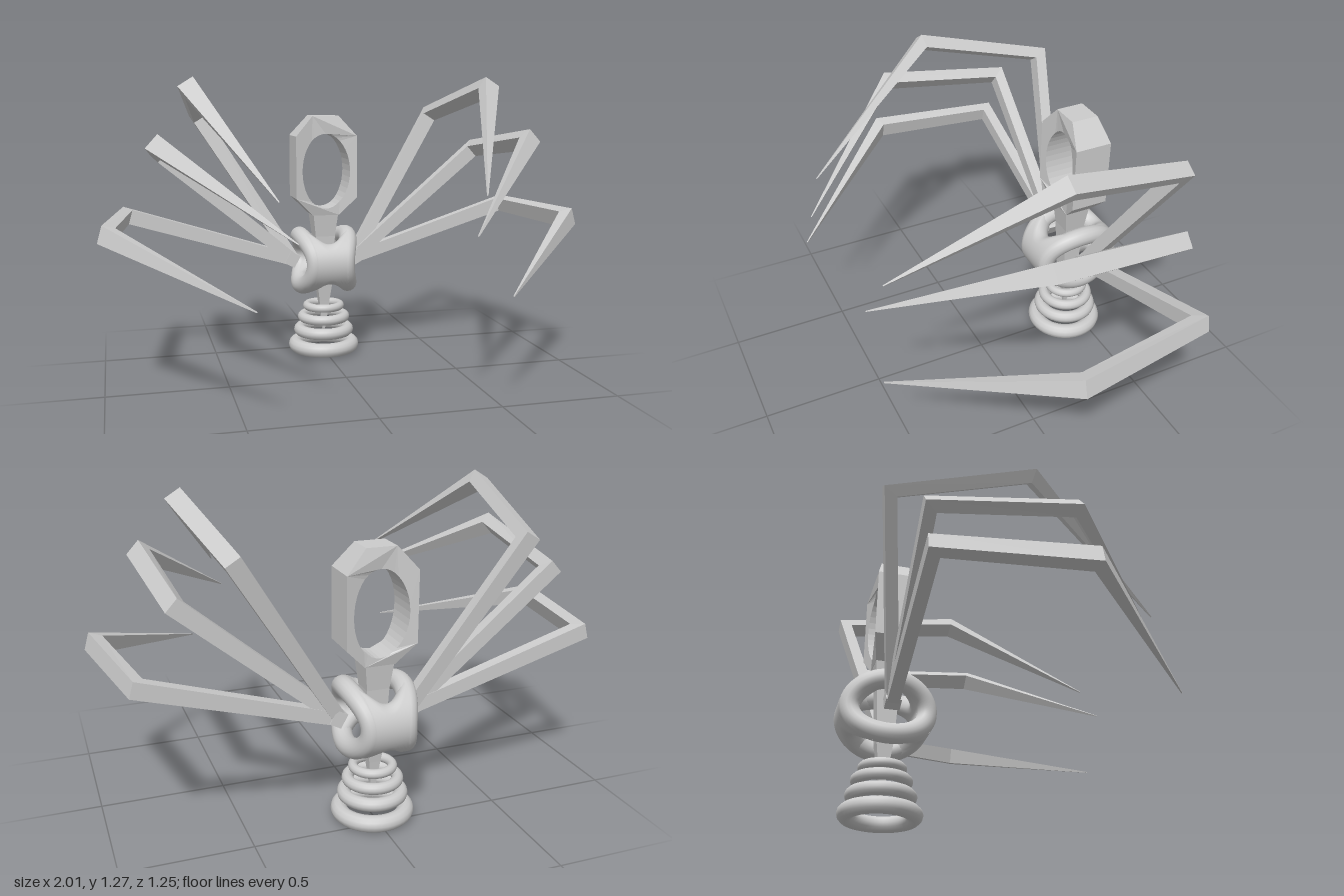
import * as THREE from 'three';

const Z = -0.43; // depth of the central column
const smooth = new THREE.MeshStandardMaterial({ color: 0xcccccc, side: THREE.DoubleSide });
const flat = new THREE.MeshStandardMaterial({ color: 0xcccccc, flatShading: true, side: THREE.DoubleSide });

// Skin a list of closed rings of points
function loft(rings) {
  const m = rings[0].length, pos = [], idx = [];
  rings.forEach(r => r.forEach(p => pos.push(p.x, p.y, p.z)));
  for (let i = 0; i < rings.length - 1; i++) {
    for (let j = 0; j < m; j++) {
      const a = i * m + j, b = i * m + (j + 1) % m;
      idx.push(a, b, b + m, a, b + m, a + m);
    }
  }
  const g = new THREE.BufferGeometry();
  g.setAttribute('position', new THREE.Float32BufferAttribute(pos, 3));
  g.setIndex(idx);
  g.computeVertexNormals();
  return g;
}

// Tapered square limb, mitred at its knees; w = half width, d = half depth
function limb(points, w, d) {
  const across = points[2].clone().sub(points[0]);
  const n = new THREE.Vector3(-across.y, across.x, 0).normalize();
  const dirs = points.slice(1).map((p, i) => p.clone().sub(points[i]).normalize());
  return loft(points.map((p, i) => {
    const d1 = dirs[Math.max(i - 1, 0)], d2 = dirs[Math.min(i, dirs.length - 1)];
    const t = d1.clone().add(d2).normalize();
    const m = n.clone().cross(t).normalize().multiplyScalar(d[i] / t.dot(d1));
    return [[1, -1], [1, 1], [-1, 1], [-1, -1]].map(([a, b]) =>
      p.clone().addScaledVector(m, a).addScaledVector(n, b * w[i]));
  }));
}

// Oval ring of the body in the y-z plane
const RY = 0.114, RZ = 0.153, TUBE = 0.04;
const spread = a => 0.07 + 0.038 * Math.sin(a) ** 2;

// Curved panel joining the two body rings, narrowest in the middle
function panelGeometry() {
  const rings = [];
  for (let i = 0; i <= 20; i++) {
    const u = i / 10 - 1, a = 0.47 + 0.75 * Math.abs(u) ** 2.2, ring = [];
    const add = (th, phi) => {
      const n = new THREE.Vector2(Math.sin(th) / RY, Math.cos(th) / RZ).normalize();
      const c = TUBE * Math.cos(phi), s = TUBE * Math.sin(phi);
      ring.push(new THREE.Vector3(u * spread(th),
        RY * Math.sin(th) + c * n.x - s * n.y,
        RZ * Math.cos(th) + c * n.y + s * n.x));
    };
    for (let k = 0; k < 14; k++) add(a - 2 * a * k / 14, 0);
    for (let k = 0; k < 8; k++) add(-a, Math.PI * k / 8);
    for (let k = 0; k < 14; k++) add(-a + 2 * a * k / 14, Math.PI);
    for (let k = 0; k < 8; k++) add(a, Math.PI + Math.PI * k / 8);
    rings.push(ring);
  }
  return loft(rings);
}

export function createModel() {
  const model = new THREE.Group();
  const add = (parent, name, geometry, material, x = 0, y = 0, z = 0) => {
    const mesh = new THREE.Mesh(geometry, material);
    mesh.name = name;
    mesh.position.set(x, y, z);
    parent.add(mesh);
    return mesh;
  };

  // Stacked rings at the foot: outer radius, tube, height
  [[0.164, 0.033, 0.033], [0.139, 0.027, 0.104], [0.121, 0.023, 0.165], [0.096, 0.019, 0.217]]
    .forEach(([r, t, y]) => {
      const g = new THREE.TorusGeometry(r - t, t, 12, 40).rotateX(Math.PI / 2);
      add(model, 'baseRing', g, smooth, 0, y, Z);
    });

  // Hollow body: two side rings joined by front and back panels
  const body = new THREE.Group();
  body.name = 'body';
  body.position.set(0, 0.437, Z);
  model.add(body);
  for (const s of [1, -1]) {
    const path = [];
    for (let i = 0; i < 32; i++) {
      const a = i / 32 * Math.PI * 2;
      path.push(new THREE.Vector3(s * spread(a), RY * Math.sin(a), RZ * Math.cos(a)));
    }
    const curve = new THREE.CatmullRomCurve3(path, true);
    add(body, 'sideRing', new THREE.TubeGeometry(curve, 64, TUBE, 16, true), smooth);
  }
  add(body, 'frontPanel', panelGeometry(), smooth);
  add(body, 'backPanel', panelGeometry(), smooth).rotation.y = Math.PI;

  // Octagonal head with an oval hole, thicker towards its sides
  const head = new THREE.Shape([[0.06, 0.65], [0.14, 0.73], [0.14, 1.01], [0.06, 1.1],
    [-0.06, 1.1], [-0.14, 1.01], [-0.14, 0.73], [-0.06, 0.65]].map(p => new THREE.Vector2(...p)));
  head.holes.push(new THREE.Path().absellipse(0, 0.85, 0.11, 0.17, 0, Math.PI * 2, true));
  const headGeo = new THREE.ExtrudeGeometry(head, { depth: 1, bevelEnabled: false, curveSegments: 20 });
  const hp = headGeo.attributes.position;
  for (let i = 0; i < hp.count; i++) {
    const k = THREE.MathUtils.clamp((Math.abs(hp.getX(i)) - 0.06) / 0.08, 0, 1);
    hp.setZ(i, Math.sign(hp.getZ(i) - 0.5) * (0.058 + 0.022 * k));
  }
  headGeo.computeVertexNormals();
  add(model, 'head', headGeo, flat, 0, 0, Z);

  // Square spike running from the head down through the body
  const profile = [[0, 0.07], [0.01, 0.13], [0.023, 0.24], [0.034, 0.32], [0.045, 0.55], [0.058, 0.66], [0, 0.66]]
    .map(([r, y]) => new THREE.Vector2(r * Math.SQRT2, y));
  add(model, 'spike', new THREE.LatheGeometry(profile, 4, Math.PI / 4), flat, 0, 0, Z);

  // Three pairs of legs: root, first knee, second knee, tip
  const legs = {
    upperLeg: [[0.14, 0.44, -0.43], [0.553, 1.10, -0.55], [0.632, 1.228, -0.02], [0.385, 0.84, 0.57]],
    middleLeg: [[0.14, 0.44, -0.43], [0.735, 0.94, -0.435], [0.77, 1.01, 0.105], [0.33, 0.70, 0.625]],
    lowerLeg: [[0.14, 0.44, -0.43], [0.885, 0.67, -0.45], [0.968, 0.668, 0.085], [0.475, 0.47, 0.625]],
  };
  for (const s of [1, -1]) {
    const side = s > 0 ? 'left' : 'right';
    for (const [name, pts] of Object.entries(legs)) {
      const points = pts.map(([x, y, z]) => new THREE.Vector3(s * x, y, z));
      add(model, `${side} ${name}`, limb(points, [0.026, 0.032, 0.036, 0.002], [0.024, 0.023, 0.025, 0.002]), flat);
    }
    // Knuckle where the legs meet
    const knuckle = add(model, `${side} knuckle`, new THREE.BoxGeometry(0.05, 0.06, 0.06), flat, s * 0.15, 0.445, Z);
    knuckle.rotation.z = s * 0.5;
  }
  return model;
}
